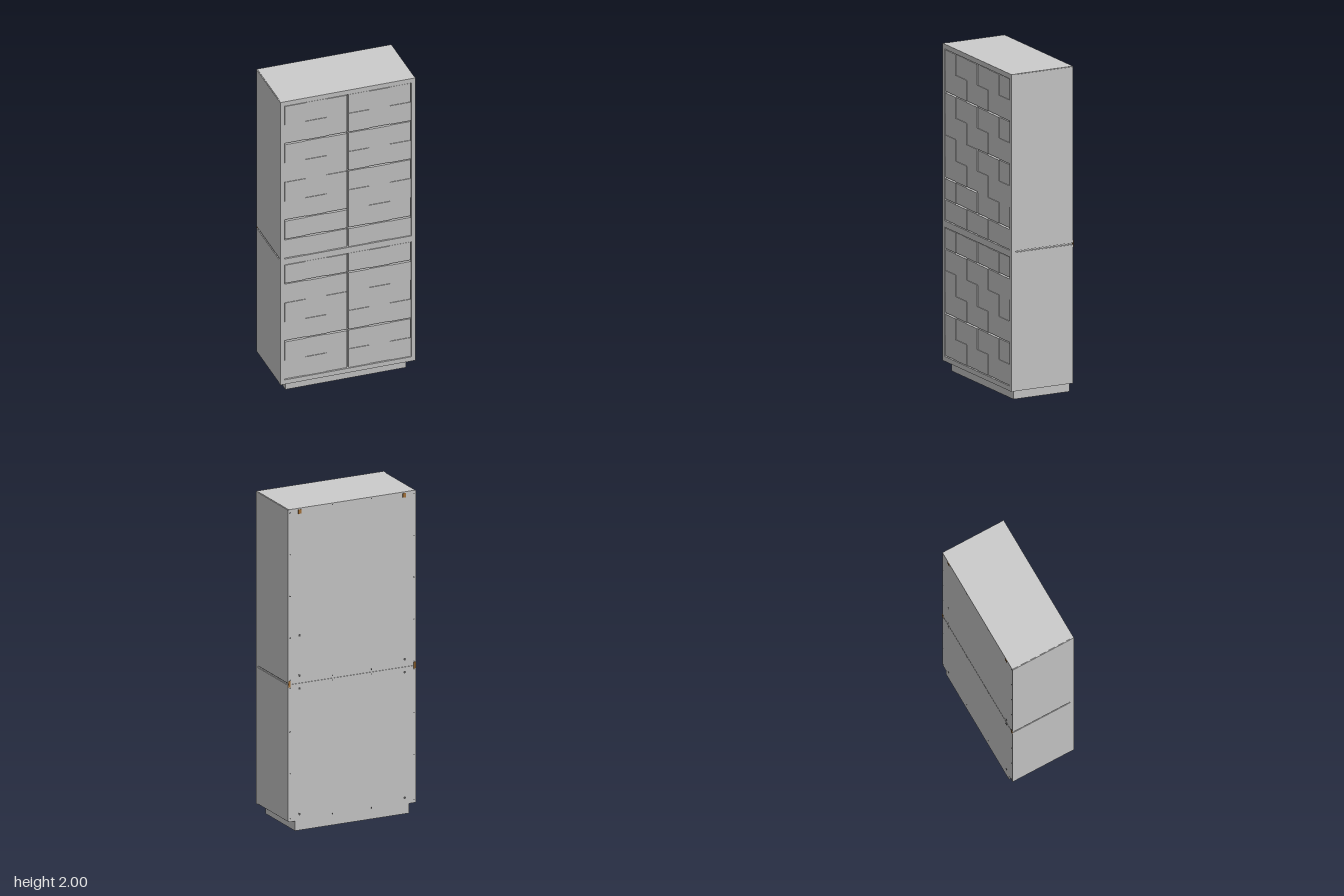
import * as THREE from 'three';

const grey = new THREE.MeshStandardMaterial({ color: 0xcccccc });
const brass = new THREE.MeshStandardMaterial({ color: 0xa8743a });
const dark = new THREE.MeshStandardMaterial({ color: 0x555555 });

// Box given by its limits on each axis
function slab(parent, name, x0, x1, y0, y1, z0, z1, material = grey) {
  const mesh = new THREE.Mesh(new THREE.BoxGeometry(x1 - x0, y1 - y0, z1 - z0), material);
  mesh.position.set((x0 + x1) / 2, (y0 + y1) / 2, (z0 + z1) / 2);
  mesh.name = name;
  parent.add(mesh);
  return mesh;
}

const FRONT = 0.209, BACK = -0.207, LOW = 0.204;
const HALF = 0.425, INNER = 0.4, GAP = 0.004;
const CELL = INNER / 3;

// One door or drawer front: a board with a chequered relief of raised tiles
function doorFront(parent, side, top, rowHeight, firstRow, lastRow) {
  const door = new THREE.Group();
  door.name = lastRow - firstRow > 1 ? 'door' : 'drawerFront';
  const x0 = side < 0 ? -INNER : 0, x1 = x0 + INNER;
  const y1 = top - firstRow * rowHeight, y0 = top - lastRow * rowHeight;
  const clampX = (x) => Math.min(Math.max(x, x0 + GAP), x1 - GAP);
  const clampY = (y) => Math.min(Math.max(y, y0 + GAP), y1 - GAP);
  slab(door, 'doorBoard', x0 + GAP, x1 - GAP, y0 + GAP, y1 - GAP, 0.186, LOW);
  for (let row = firstRow; row < lastRow; row++) {
    for (let c = 0; c < 3; c++) {
      const column = c + (side < 0 ? 0 : 3);
      if ((row + column) % 2) continue;
      const x = x0 + c * CELL, y = top - row * rowHeight;
      slab(door, 'raisedTile', clampX(x), clampX(x + CELL),
        clampY(y - rowHeight), clampY(y), LOW - 0.002, FRONT - 0.001);
    }
  }
  parent.add(door);
}

// Small disc on the back
function backDisc(parent, name, x, y, radius) {
  const mesh = new THREE.Mesh(new THREE.CylinderGeometry(radius, radius, 0.001, 12), dark);
  mesh.rotation.x = Math.PI / 2;
  mesh.position.set(x, y, BACK - 0.0003);
  mesh.name = name;
  parent.add(mesh);
}

export function createModel() {
  const model = new THREE.Group();
  model.name = 'cabinet';

  const units = [
    { name: 'lowerUnit', y0: 0.06, y1: 0.912, bottom: 0.09, top: 0.88, rows: 6,
      left: [0, 1, 4, 6], right: [0, 1, 4, 6] },
    { name: 'upperUnit', y0: 0.918, y1: 2, bottom: 0.92, top: 1.97, rows: 8,
      left: [0, 2, 6, 7, 8], right: [0, 2, 4, 7, 8] },
  ];

  for (const u of units) {
    const unit = new THREE.Group();
    unit.name = u.name;
    // Carcass with slightly proud side panels
    slab(unit, 'carcass', -0.421, 0.421, u.y0, u.y1, BACK, 0.185);
    for (const s of [-1, 1]) {
      const a = s * 0.42, b = s * HALF;
      slab(unit, 'sidePanel', Math.min(a, b), Math.max(a, b), u.y0 + 0.003, u.y1 - 0.003, BACK, 0.186);
    }
    // Doors and drawers
    const rowHeight = (u.top - u.bottom) / u.rows;
    for (const [side, cuts] of [[-1, u.left], [1, u.right]]) {
      for (let i = 0; i + 1 < cuts.length; i++) {
        doorFront(unit, side, u.top, rowHeight, cuts[i], cuts[i + 1]);
      }
    }
    model.add(unit);
  }
  slab(model, 'jointFiller', -0.415, 0.415, 0.908, 0.922, BACK + 0.004, 0.185);

  // Front frame with one opening per unit
  const outline = new THREE.Shape();
  outline.moveTo(-HALF, 0.06).lineTo(HALF, 0.06).lineTo(HALF, 2).lineTo(-HALF, 2).closePath();
  for (const u of units) {
    const hole = new THREE.Path();
    hole.moveTo(-INNER, u.bottom).lineTo(-INNER, u.top).lineTo(INNER, u.top).lineTo(INNER, u.bottom).closePath();
    outline.holes.push(hole);
  }
  const frame = new THREE.Mesh(
    new THREE.ExtrudeGeometry(outline, { depth: FRONT - 0.184, bevelEnabled: false }), grey);
  frame.position.z = 0.184;
  frame.name = 'frontFrame';
  model.add(frame);

  // Open plinth with a middle divider
  const plinth = new THREE.Group();
  plinth.name = 'plinth';
  slab(plinth, 'plinthFront', -0.38, 0.38, 0, 0.06, 0.15, 0.172);
  slab(plinth, 'plinthBack', -0.38, 0.38, 0, 0.06, BACK, BACK + 0.022);
  for (const x of [-0.369, 0, 0.369]) {
    slab(plinth, 'plinthRail', x - 0.011, x + 0.011, 0, 0.06, BACK + 0.022, 0.15);
  }
  model.add(plinth);

  // Screws, holes and brackets on the back
  const hardware = new THREE.Group();
  hardware.name = 'backHardware';
  for (const s of [-1, 1]) {
    for (const y of [0.08, 0.36, 0.62, 0.89, 0.94, 1.2, 1.46, 1.72, 1.98]) {
      backDisc(hardware, 'edgeScrew', s * 0.412, y, 0.004);
    }
    for (const y of [0.07, 0.9, 0.93, 1.99]) backDisc(hardware, 'railScrew', s * 0.13, y, 0.004);
    for (const y of [0.1, 0.88, 0.96]) backDisc(hardware, 'cableHole', s * 0.35, y, 0.008);
    slab(hardware, 'wallBracket', s * 0.348 - 0.011, s * 0.348 + 0.011, 1.965, 1.992, BACK - 0.002, BACK + 0.002, brass);
    slab(hardware, 'joiningPlate', s * 0.417 - 0.007, s * 0.417 + 0.007, 0.895, 0.935, BACK - 0.002, BACK + 0.002, brass);
  }
  backDisc(hardware, 'cableHole', 0.35, 1.21, 0.008);
  model.add(hardware);
  return model;
}
